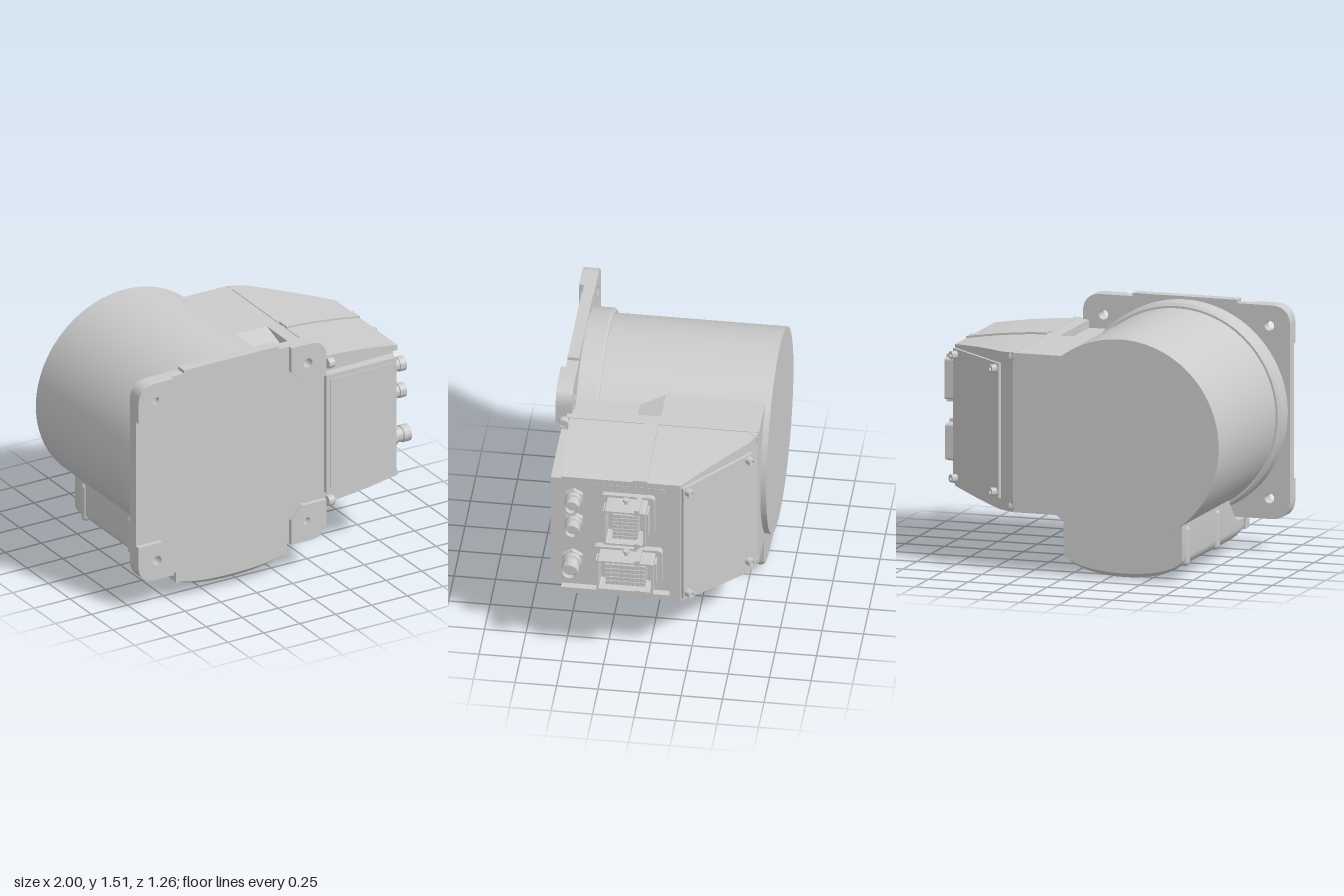
import * as THREE from 'three';
import { toCreasedNormals } from 'three/addons/utils/BufferGeometryUtils.js';

const grey = new THREE.MeshStandardMaterial({ color: 0xcccccc });
const CX = -0.335, CY = 0.84; // drum axis

function add(parent, name, geometry, x = 0, y = 0, z = 0) {
  const m = new THREE.Mesh(geometry, grey);
  m.name = name;
  m.position.set(x, y, z);
  parent.add(m);
  return m;
}

// box given by its limits
function box(parent, name, x0, x1, y0, y1, z0, z1) {
  return add(parent, name, new THREE.BoxGeometry(x1 - x0, y1 - y0, z1 - z0),
    (x0 + x1) / 2, (y0 + y1) / 2, (z0 + z1) / 2);
}

// skin over convex rings of [x, y, z], each counter-clockwise seen from the far end
function loft(rings, crease = 0.4) {
  const pos = [], n = rings[0].length;
  const tri = (a, b, c) => pos.push(...a, ...b, ...c);
  for (let k = 0; k < rings.length - 1; k++) {
    const a = rings[k], b = rings[k + 1];
    for (let i = 0; i < n; i++) {
      const j = (i + 1) % n;
      tri(a[i], a[j], b[j]);
      tri(a[i], b[j], b[i]);
    }
  }
  const first = rings[0], last = rings[rings.length - 1];
  for (let i = 1; i < n - 1; i++) {
    tri(first[0], first[i + 1], first[i]);
    tri(last[0], last[i], last[i + 1]);
  }
  const g = new THREE.BufferGeometry();
  g.setAttribute('position', new THREE.Float32BufferAttribute(pos, 3));
  g.computeVertexNormals();
  return toCreasedNormals(g, crease);
}

const ringX = (x, y0, y1, z0, z1) => [[x, y0, z0], [x, y1, z0], [x, y1, z1], [x, y0, z1]];
const ringZ = (z, x0, x1, y0, y1) => [[x0, y0, z], [x1, y0, z], [x1, y1, z], [x0, y1, z]];

function roundRect(w, h, r, Type = THREE.Shape) {
  const s = new Type(), x = w / 2, y = h / 2;
  s.moveTo(-x + r, -y).lineTo(x - r, -y).quadraticCurveTo(x, -y, x, -y + r)
    .lineTo(x, y - r).quadraticCurveTo(x, y, x - r, y)
    .lineTo(-x + r, y).quadraticCurveTo(-x, y, -x, y - r)
    .lineTo(-x, -y + r).quadraticCurveTo(-x, -y, -x + r, -y);
  return s;
}

const extrude = (shape, depth) =>
  new THREE.ExtrudeGeometry(shape, { depth, bevelEnabled: false, curveSegments: 16 });

const hole = (x, y, r) => new THREE.Path().absarc(x, y, r, 0, Math.PI * 2, true);

// turned part along +z from [radius, z] points
function turned(points, segments = 32) {
  const g = new THREE.LatheGeometry(points.map(p => new THREE.Vector2(p[0], p[1])), segments);
  return toCreasedNormals(g.rotateX(Math.PI / 2), 0.5);
}

function buildFlange(root) {
  const flange = new THREE.Group();
  flange.name = 'mountingFlange';
  flange.position.set(CX - 0.01, CY, 0);
  root.add(flange);
  const plate = roundRect(1.31, 1.3, 0.12);
  for (const sx of [-1, 1]) for (const sy of [-1, 1]) {
    plate.holes.push(hole(sx * 0.525, sy * 0.525, 0.03));
    // thicker corner pad
    const pad = new THREE.Shape();
    const P = (x, y) => [sx * x, sy * y];
    pad.moveTo(...P(0.655, 0.41)).lineTo(...P(0.655, 0.53))
      .quadraticCurveTo(...P(0.655, 0.65), ...P(0.535, 0.65))
      .lineTo(...P(0.41, 0.65)).lineTo(...P(0.41, 0.49)).lineTo(...P(0.49, 0.41));
    pad.holes.push(hole(sx * 0.525, sy * 0.525, 0.03));
    add(flange, 'cornerPad', extrude(pad, 0.03), 0, 0, 0.6);
  }
  add(flange, 'flangePlate', extrude(plate, 0.07), 0, 0, 0.53);
  box(flange, 'topEdge', -0.32, 0.34, 0.6, 0.67, 0.53, 0.6);
  box(flange, 'sideEdge', -0.655, -0.6, -0.32, 0.33, 0.53, 0.6);
}

function buildLowerCover(root) {
  // rounded trough, stepped up at the front
  const stations = [[-0.59, 0.37, 0.03], [-0.57, 0.37, 0.005], [0.2, 0.37, 0], [0.25, 0.345, 0],
    [0.3, 0.29, 0], [0.35, 0.235, 0], [0.4, 0.2, 0], [0.46, 0.19, 0.003], [0.49, 0.19, 0.02],
    [0.51, 0.19, 0.055], [0.58, 0.19, 0.06], [0.6, 0.19, 0.085]];
  const rings = stations.map(([z, top, low]) => {
    const ring = [[CX + 0.375, top, z], [CX - 0.375, top, z]];
    for (let i = 0; i <= 24; i++) {
      const a = Math.PI * i / 24;
      ring.push([CX - 0.375 * Math.cos(a), 0.14 - (0.14 - low) * Math.sin(a), z]);
    }
    return ring;
  });
  add(root, 'lowerCover', loft(rings, 0.6));
  for (const s of [-1, 1]) {
    for (const z of [0.05, -0.49])
      add(root, 'coverRib', new THREE.CapsuleGeometry(0.03, 0.19, 6, 16), CX + s * 0.358, 0.205, z);
    box(root, 'coverFoot', CX + s * 0.36 - 0.025, CX + s * 0.36 + 0.025, 0.12, 0.19, 0.53, 0.6);
  }
}

function buildHousing(root) {
  const housing = new THREE.Group();
  housing.name = 'connectorHousing';
  root.add(housing);
  // base next to the drum, with shallow pockets towards the flange
  box(housing, 'housingBase', 0, 0.35, 0.36, 1.33, -0.6, 0);
  box(housing, 'housingRim', 0.27, 0.35, 0.36, 1.33, 0, 0.56);
  add(housing, 'pocketFloor', loft([ringZ(0, 0, 0.27, 0.36, 1.33),
    ringZ(0.15, 0, 0.27, 0.41, 1.28), ringZ(0.54, 0, 0.27, 0.41, 1.28)], 0.2));

  // cover narrowing outwards, chamfered at the back
  const half = x => 0.485 - 0.055 * Math.pow(Math.max(0, (x - 0.35) / 0.515), 1.6);
  const back = x => x < 0.45 ? -0.6 + (x - 0.35) * 0.4 : -0.56 + (x - 0.45) * 0.88;
  const xs = [0.355, 0.45, 0.55, 0.65, 0.74, 0.82];
  add(housing, 'housingCover', loft(xs.map(x =>
    ringX(x, CY + 0.005 - half(x), CY + 0.005 + half(x), back(x), 0.54 - (x - 0.35) * 0.03))));
  box(housing, 'frontPanel', 0.33, 0.82, 0.45, 1.23, 0.5, 0.592);
  box(housing, 'frontPanelInset', 0.36, 0.79, 0.48, 1.2, 0.58, 0.597);

  // lips around the connector field
  for (const s of [-1, 1]) {
    const lipX = [0.815, 0.865];
    add(housing, 'panelLip', loft(lipX.map(x => {
      const a = CY + 0.005 + s * half(x), b = CY + 0.005 + s * 0.395;
      return ringX(x, Math.min(a, b), Math.max(a, b), back(x), 0.525);
    })));
    // raised strip over the cover
    add(housing, 'coverStrip', loft([...xs, 0.865].map(x => {
      const a = CY + 0.005 + s * (half(x) + 0.012), b = CY + 0.005 + s * (half(x) - 0.03);
      return ringX(x, Math.min(a, b), Math.max(a, b), 0.005, 0.09);
    })));
    // screw ears along the joint
    for (const z of [0.575, 0.05, -0.565]) {
      const ear = turned([[0, 0], [0.032, 0], [0.032, 0.04], [0.022, 0.04], [0.022, 0.032], [0, 0.032]], 20);
      add(housing, 'screwEar', ear, 0.345, CY + 0.005 + s * 0.455, z).rotation.y = Math.PI / 2;
    }
  }
  add(housing, 'rearLip', loft([0.815, 0.865].map(x => ringX(x, 0.44, 1.25, back(x), -0.13))));

  // screwed plate on the chamfer
  const access = new THREE.Group();
  access.name = 'accessPlate';
  access.position.set(0.652, 0.845, -0.382);
  access.rotation.y = Math.atan2(0.66, -0.75);
  housing.add(access);
  box(access, 'plate', -0.275, 0.275, -0.41, 0.41, -0.02, 0.018);
  for (const x of [-0.24, 0.24]) for (const y of [-0.375, 0.375])
    add(access, 'plateScrew', turned([[0, 0], [0.025, 0], [0.025, 0.04], [0.012, 0.04], [0.012, 0.028], [0, 0.028]], 16), x, y, 0.015);
}

function roundConnector(root, y, z, s, length) {
  const c = new THREE.Group();
  c.name = 'roundConnector';
  c.position.set(0.82, y, z);
  c.rotation.y = Math.PI / 2;
  root.add(c);
  add(c, 'hexNut', turned([[0, 0], [0.06 * s, 0], [0.06 * s, 0.03], [0, 0.03]], 6));
  const L = length;
  add(c, 'sleeve', turned([[0.05 * s, 0.02], [0.05 * s, 0.06], [0.04 * s, 0.065], [0.04 * s, L * 0.65],
    [0.046 * s, L * 0.68], [0.046 * s, L], [0.036 * s, L], [0.036 * s, L - 0.03], [0, L - 0.03]]));
}

// open shell around a block of contacts
function socket(root, y, z, w, h, length, cols, rows) {
  const c = new THREE.Group();
  c.name = 'rectangularConnector';
  c.position.set(0.82, y, z);
  c.rotation.y = Math.PI / 2;
  root.add(c);
  add(c, 'socketBase', extrude(roundRect(w + 0.08, h + 0.03, 0.03), 0.04));
  const shell = roundRect(w, h, 0.015);
  shell.holes.push(roundRect(w - 0.025, h - 0.025, 0.01, THREE.Path));
  add(c, 'socketShell', extrude(shell, length));
  const gw = w - 0.1, gh = h - 0.07, px = gw / cols, py = gh / rows;
  box(c, 'contactCarrier', -gw / 2, gw / 2, -gh / 2, gh / 2, 0, length - 0.04);
  for (let i = 0; i < cols; i++) for (let j = 0; j < rows; j++)
    add(c, 'contact', new THREE.BoxGeometry(px * 0.85, py * 0.85, 0.03),
      (i + 0.5) * px - gw / 2, (j + 0.5) * py - gh / 2, length - 0.035);
  for (const s of [-1, 1]) {
    add(c, 'latchPin', new THREE.CylinderGeometry(0.012, 0.012, 0.04, 12), 0, s * (h / 2 + 0.012), length * 0.5);
    add(c, 'latchHead', new THREE.CylinderGeometry(0.02, 0.02, 0.012, 12), 0, s * (h / 2 + 0.026), length * 0.5);
    box(c, 'latchTab', 0.06, 0.09, s * h / 2 - 0.018, s * h / 2 + 0.018, 0.02, length);
    box(c, 'sideClip', s * w / 2 - 0.012, s * w / 2 + 0.012, -h * 0.35, h * 0.35, 0.02, length - 0.05);
  }
}

export function createModel() {
  const root = new THREE.Group();
  root.name = 'motorUnit';

  // drum with collar
  add(root, 'drum', turned([[0, -0.635], [0.622, -0.635], [0.622, 0.42], [0, 0.42]], 96), CX, CY, 0);
  add(root, 'collar', turned([[0.6, 0.395], [0.635, 0.395], [0.652, 0.41], [0.652, 0.54], [0, 0.54]], 96), CX, CY, 0);

  buildFlange(root);
  buildLowerCover(root);
  buildHousing(root);

  roundConnector(root, 1.105, 0.45, 1, 0.13);
  roundConnector(root, 0.93, 0.45, 1, 0.13);
  roundConnector(root, 0.645, 0.46, 1.15, 0.155);
  add(root, 'connectorPlate', extrude(roundRect(0.46, 0.38, 0.03), 0.012), 0.815, 1.02, 0.13).rotation.y = Math.PI / 2;
  socket(root, 1.02, 0.125, 0.25, 0.25, 0.18, 5, 7);
  socket(root, 0.645, 0.125, 0.34, 0.22, 0.16, 8, 5);
  return root;
}
